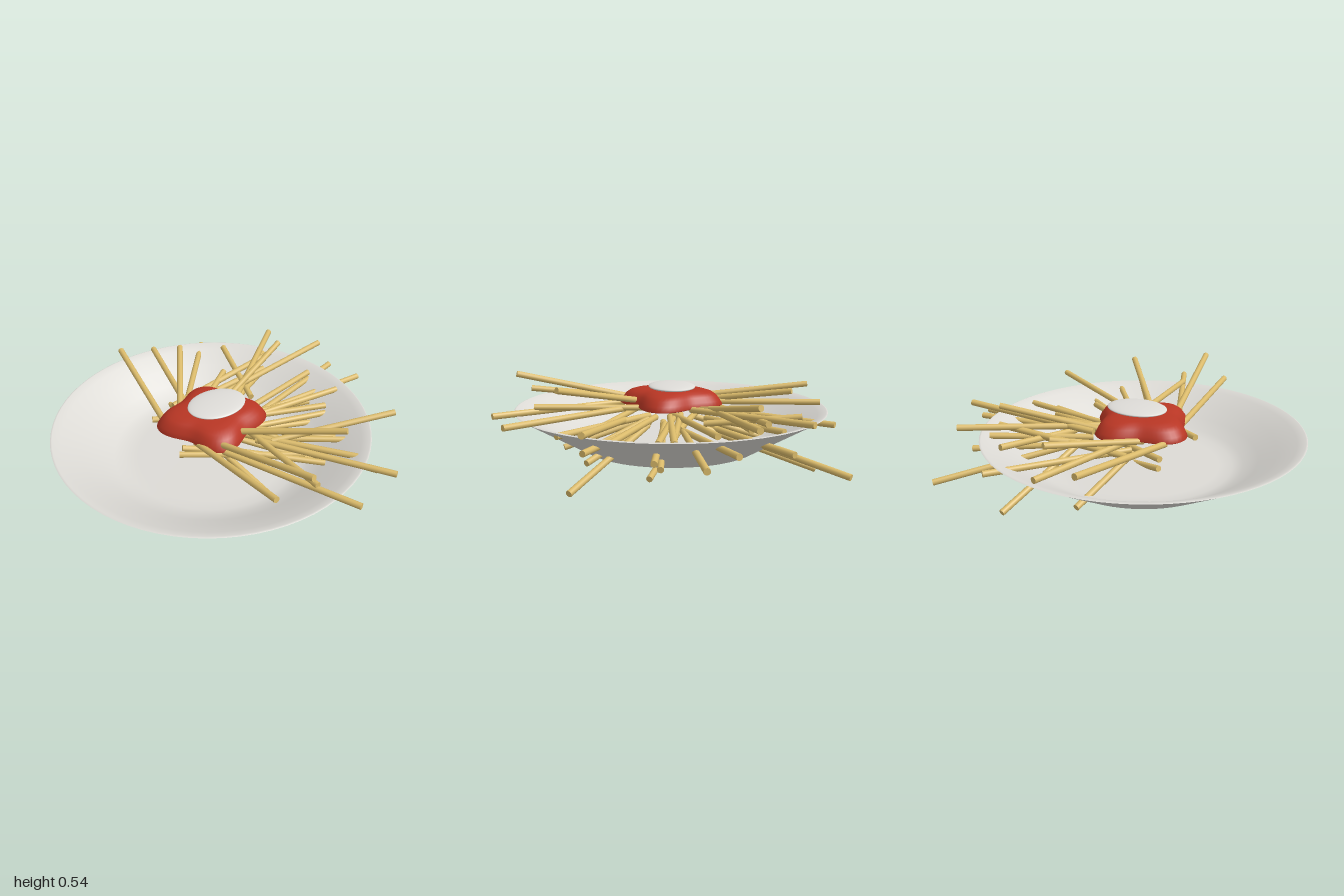
import * as THREE from 'three';

const material = (name, color, side = THREE.FrontSide) => {
  const m = new THREE.MeshStandardMaterial({ color, side });
  m.name = name;
  return m;
};

export function createModel() {
  const model = new THREE.Group();
  const china = material('china', 0xdcdad5, THREE.DoubleSide);
  const potato = material('potato', 0xdaba6a);
  const tomato = material('tomato', 0xb83624);
  const cream = material('cream', 0xdedcd8);

  const add = (name, geometry, mat, parent = model) => {
    const mesh = new THREE.Mesh(geometry, mat);
    mesh.name = name;
    parent.add(mesh);
    return mesh;
  };

  // Plate: separate surfaces keep the foot and rim edges crisp
  const plate = new THREE.Group();
  plate.name = 'plate';
  plate.position.set(-0.105, 0, -0.06);
  model.add(plate);
  const lathe = (name, points) => add(name,
    new THREE.LatheGeometry(points.map(([x, y]) => new THREE.Vector2(x, y)), 72), china, plate);
  lathe('plateBase', [[0, 0.09], [0.505, 0.09]]);
  lathe('plateOuterWall', [[0.505, 0.09], [0.895, 0.318]]);
  lathe('plateInside', [[0.895, 0.318], [0.885, 0.322], [0.84, 0.304], [0.74, 0.25], [0.64, 0.189],
    [0.56, 0.144], [0.5, 0.127], [0.43, 0.122], [0, 0.122]]);

  // Fries: each row is inner x, z, then tip x, y, z
  const fryGroup = new THREE.Group();
  fryGroup.name = 'fries';
  model.add(fryGroup);
  const up = new THREE.Vector3(0, 1, 0);
  const layFries = (innerY, rows) => rows.forEach(([x0, z0, x1, y1, z1]) => {
    const from = new THREE.Vector3(x0, innerY, z0);
    const to = new THREE.Vector3(x1, y1, z1);
    const dir = to.clone().sub(from);
    const fry = add('fry', new THREE.CylinderGeometry(0.0175, 0.0175, dir.length(), 12), potato, fryGroup);
    fry.position.copy(from).add(to).multiplyScalar(0.5);
    fry.quaternion.setFromUnitVectors(up, dir.normalize());
  });
  // Upper fries, rising outwards
  layFries(0.335, [
    [-0.22, 0.05, -0.1, 0.53, 0.81],
    [-0.15, 0.02, 0.305, 0.5, 0.6],
    [-0.28, 0.05, -0.26, 0.42, 0.735],
    [0.01, 0.02, 0.015, 0.36, 0.72],
    [-0.2, 0.2, 0.11, 0.335, 0.94],
    [0, 0.22, 0.42, 0.34, 0.87],
    [-0.32, -0.22, -0.21, 0.41, -0.92],
    [-0.14, -0.25, 0.02, 0.34, -0.92],
    [-0.2, -0.24, 0.1, 0.425, -0.72],
    [0.1, -0.2, 0.62, 0.44, -0.39],
    [0.1, -0.25, 0.885, 0.39, -0.31],
    [0.1, -0.14, 0.73, 0.37, -0.63],
  ]);
  // Middle fries, nearly level
  layFries(0.29, [
    [0.26, -0.18, 0.4, 0.34, -0.68],
    [-0.15, -0.28, 0.36, 0.28, -0.88],
    [-0.17, -0.37, 0.59, 0.35, -0.44],
    [-0.05, -0.26, 0.25, 0.33, -0.455],
    [0, -0.06, 0.68, 0.32, -0.16],
    [0.05, -0.03, 0.72, 0.3, 0.06],
    [0, -0.1, 0.53, 0.27, 0.03],
    [0.1, -0.04, 0.585, 0.27, 0.12],
    [0.05, 0.05, 0.455, 0.24, 0.36],
    [0.1, 0.23, 0.765, 0.37, 0.5],
    [0, 0.08, 0.41, 0.285, 0.61],
    [-0.13, 0.17, 0.27, 0.23, 0.49],
    [-0.38, 0.04, 0.2, 0.26, 0.4],
    [-0.34, -0.32, 0.25, 0.26, -0.05],
    [-0.05, -0.34, 0.5, 0.3, -0.38],
    [0.1, 0.1, 0.3, 0.2, 0.4],
    [0.12, -0.22, 0.6, 0.31, -0.52],
  ]);
  // Lower fries, drooping through the plate
  layFries(0.25, [
    [0.24, -0.07, 0.99, 0.24, -0.04],
    [0.2, -0.06, 0.9, 0.275, -0.21],
    [0.2, -0.25, 0.77, 0.11, -0.81],
    [0.13, -0.22, 0.71, 0.22, -0.54],
    [0.2, -0.2, 0.33, 0.03, -0.79],
    [-0.13, -0.2, -0.05, 0.1, -0.67],
    [0.08, 0.1, 0.625, 0.05, 0.56],
    [0.05, 0.1, 0.6, 0.24, 0.49],
    [0, 0.08, 0.38, 0.13, 0.46],
    [-0.15, 0.05, -0.05, 0.11, 0.56],
    [0.05, 0, 0.73, 0.21, 0.16],
    [0, 0, 0.61, 0.145, 0.11],
  ]);
  layFries(0.15, [[-0.25, -0.15, 0.35, 0.02, 0.13]]);

  // Sauce: four-lobed rings stacked into a soft mound
  const rings = [[0.01, 0.343], [0.97, 0.337], [1, 0.343], [0.95, 0.368], [0.88, 0.395],
    [0.79, 0.413], [0.66, 0.424], [0.5, 0.429], [0.01, 0.432]];
  const sides = 72, positions = [], index = [];
  rings.forEach(([s, y], j) => {
    for (let i = 0; i < sides; i++) {
      const a = i / sides * Math.PI * 2;
      const r = s * (0.269 + 0.037 * Math.cos(4 * (a - 0.38)) + 0.006 * Math.cos(2 * (a - 0.5)));
      positions.push(-0.1 + r * Math.cos(a), y, -0.06 + r * Math.sin(a));
      if (j < rings.length - 1) {
        const p = j * sides + i, q = j * sides + (i + 1) % sides;
        index.push(p, p + sides, q, q, p + sides, q + sides);
      }
    }
  });
  const sauce = new THREE.BufferGeometry();
  sauce.setAttribute('position', new THREE.Float32BufferAttribute(positions, 3));
  sauce.setIndex(index);
  sauce.computeVertexNormals();
  add('sauce', sauce, tomato);

  // Flattened dollop on top
  const dollop = add('creamDollop', new THREE.SphereGeometry(1, 40, 20), cream);
  dollop.scale.set(0.172, 0.019, 0.133);
  dollop.position.set(-0.068, 0.443, -0.06);

  return model;
}
